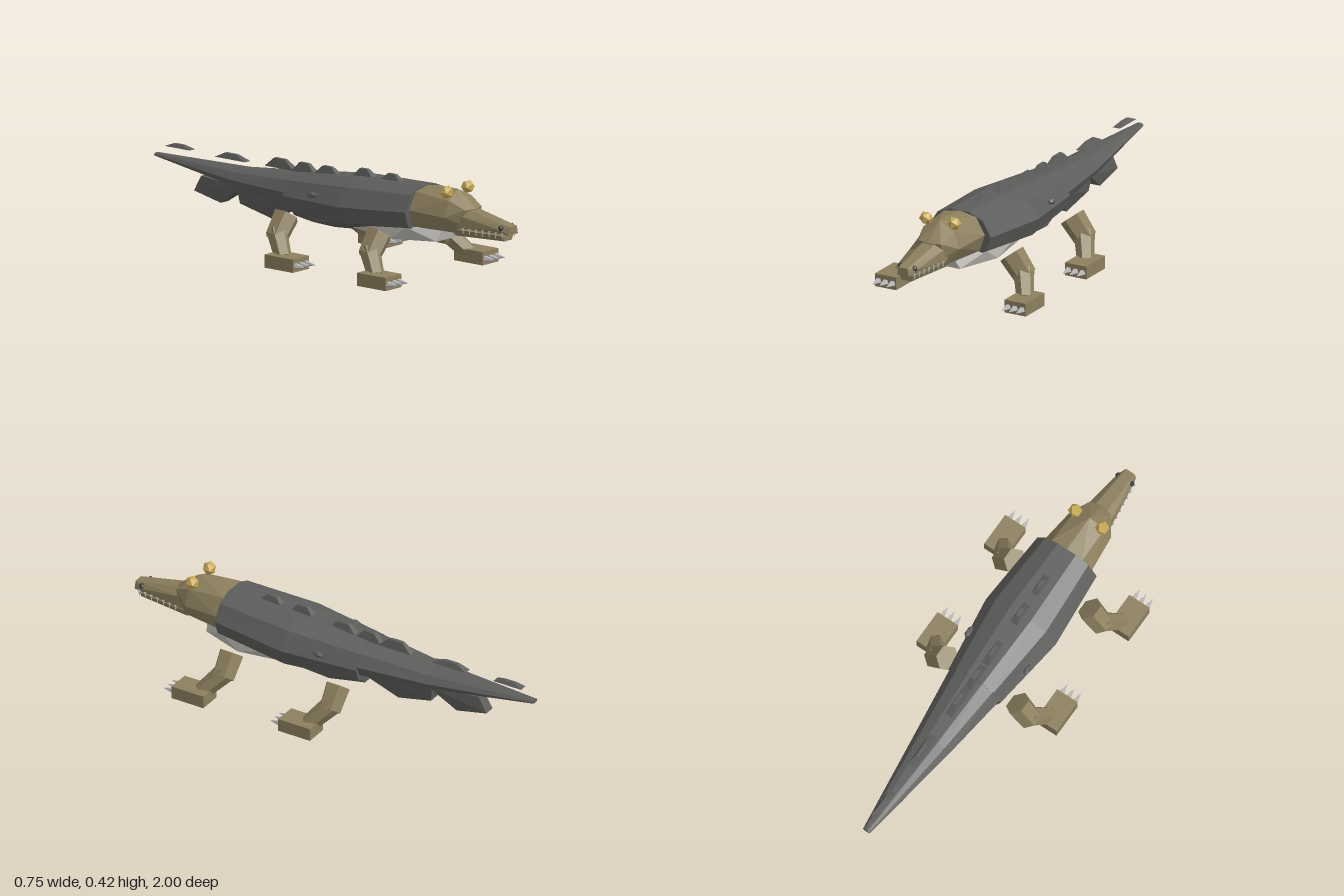
import * as THREE from 'three';
import { ConvexGeometry } from 'three/addons/geometries/ConvexGeometry.js';

const V = (x, y, z) => new THREE.Vector3(x, y, z);

function material(name, color) {
  const m = new THREE.MeshStandardMaterial({ color });
  m.name = name;
  return m;
}

// Faceted copy of a geometry
function flat(geometry) {
  const g = geometry.index ? geometry.toNonIndexed() : geometry;
  g.computeVertexNormals();
  return g;
}

// Convex solid from half of its points, mirrored across x
function hull(points) {
  const all = [];
  for (const [x, y, z] of points) {
    all.push(V(x, y, z));
    if (x !== 0) all.push(V(-x, y, z));
  }
  return new ConvexGeometry(all);
}

// Ten-sided loft; each section is [z, halfWidth, bottom, top], front to back
function loft(sections) {
  const half = [[0.3, 1], [0.72, 0.87], [1, 0.52], [0.84, 0.18], [0.38, 0]];
  const ring = [...half.map(([x, y]) => [-x, y]), ...half.slice().reverse()];
  const n = ring.length;
  const rings = sections.map(([z, w, lo, hi]) => ring.map(([x, y]) => V(x * w, lo + y * (hi - lo), z)));
  const pts = [];
  for (let s = 0; s < rings.length - 1; s++) {
    for (let i = 0; i < n; i++) {
      const j = (i + 1) % n, a = rings[s], b = rings[s + 1];
      pts.push(a[i], a[j], b[j], a[i], b[j], b[i]);
    }
  }
  const first = rings[0], last = rings[rings.length - 1];
  for (let i = 1; i < n - 1; i++) {
    pts.push(first[0], first[i + 1], first[i], last[0], last[i], last[i + 1]);
  }
  // The ring runs counterclockwise seen from the front
  for (let i = 0; i < pts.length; i += 3) {
    const cap = i >= (rings.length - 1) * n * 6;
    if (cap) [pts[i + 1], pts[i + 2]] = [pts[i + 2], pts[i + 1]];
    else [pts[i + 1], pts[i + 2]] = [pts[i + 2], pts[i + 1]];
  }
  return flat(new THREE.BufferGeometry().setFromPoints(pts));
}

// Tapered limb segment between two points
function limb(a, b, r0, r1, sides) {
  const dir = b.clone().sub(a);
  const g = new THREE.CylinderGeometry(r1, r0, dir.length(), sides);
  g.applyQuaternion(new THREE.Quaternion().setFromUnitVectors(V(0, 1, 0), dir.normalize()));
  g.translate((a.x + b.x) / 2, (a.y + b.y) / 2, (a.z + b.z) / 2);
  return flat(g);
}

export function createModel() {
  const model = new THREE.Group();
  model.name = 'crocodile';
  const grey = material('dark grey hide', 0x5d5d5b);
  const olive = material('olive skin', 0x8c7f5e);
  const pale = material('pale belly', 0xbcb9b2);
  const gold = material('gold eye', 0xc9ab57);
  const dark = material('dark nostril', 0x3c3c3a);
  const ivory = material('claw and tooth', 0xb9b9b9);

  const add = (name, geometry, mat, parent = model) => {
    const mesh = new THREE.Mesh(geometry, mat);
    mesh.name = name;
    parent.add(mesh);
    return mesh;
  };

  // Trunk and tail
  add('body', loft([[0.52, 0.155, 0.19, 0.39], [0.17, 0.182, 0.155, 0.38], [-0.18, 0.135, 0.17, 0.347]]), grey);
  add('tail', loft([[-0.17, 0.13, 0.2, 0.345], [-0.5, 0.087, 0.228, 0.315], [-1, 0.018, 0.295, 0.31]]), grey);

  // Underside plates
  add('chestPlate', hull([[0.06, 0.165, 0.62], [0.03, 0.22, 0.63], [0.13, 0.165, 0.42], [0.12, 0.22, 0.5],
    [0, 0.125, 0.34], [0.13, 0.22, 0.25], [0.09, 0.17, 0.12]]), pale);
  add('bellyPlate', hull([[0.09, 0.165, 0.2], [0.13, 0.19, 0.1], [0, 0.128, 0], [0.11, 0.165, -0.03],
    [0.1, 0.22, -0.18], [0.06, 0.165, -0.18]]), grey);
  add('frontTailPlate', hull([[0.08, 0.24, -0.18], [0.05, 0.185, -0.2], [0.03, 0.122, -0.33],
    [0.04, 0.165, -0.5], [0.05, 0.24, -0.51]]), grey);
  add('rearTailPlate', hull([[0.05, 0.24, -0.49], [0.04, 0.22, -0.51], [0.025, 0.147, -0.62],
    [0.025, 0.18, -0.77], [0.025, 0.25, -0.73]]), grey);

  // Back ridge: [z, length, base, top]
  const ridge = [[0.325, 0.11, 0.38, 0.41], [0.17, 0.11, 0.376, 0.41], [-0.035, 0.13, 0.355, 0.39],
    [-0.165, 0.13, 0.345, 0.386], [-0.3, 0.16, 0.345, 0.385], [-0.575, 0.17, 0.343, 0.366], [-0.87, 0.14, 0.349, 0.364]];
  for (const [z, len, base, top] of ridge) {
    const h = len / 2;
    add('backScale', hull([[0.018, base, z + h], [0.018, base, z - h], [0.008, top, z + h * 0.3], [0.008, top, z - h * 0.45]]), grey);
  }

  // Head, snout and jaw
  add('head', hull([[0.125, 0.3, 0.52], [0.08, 0.375, 0.52], [0, 0.39, 0.52], [0.1, 0.225, 0.52],
    [0, 0.398, 0.69], [0.075, 0.36, 0.7], [0.105, 0.29, 0.7], [0.06, 0.22, 0.72],
    [0.055, 0.325, 0.775], [0, 0.325, 0.79], [0.06, 0.26, 0.76]]), olive);
  add('snout', hull([[0.065, 0.3, 0.74], [0.03, 0.33, 0.74], [0.07, 0.245, 0.74],
    [0.03, 0.282, 0.95], [0.022, 0.278, 1], [0.042, 0.262, 0.96], [0.03, 0.243, 1]]), olive);
  add('lowerJaw', hull([[0.065, 0.236, 0.72], [0.05, 0.206, 0.72], [0.035, 0.236, 0.97], [0.025, 0.212, 0.97]]), olive);

  // Mirrored parts
  for (const s of [1, -1]) {
    const eye = add('eye', new THREE.IcosahedronGeometry(0.031, 0), gold);
    eye.position.set(s * 0.07, 0.395, 0.685);
    const nostril = add('nostril', new THREE.IcosahedronGeometry(0.014, 0), dark);
    nostril.position.set(s * 0.034, 0.27, 0.96);
    const bump = add('sideScale', new THREE.IcosahedronGeometry(0.02, 0), grey);
    bump.scale.set(0.7, 0.7, 1.6);
    bump.position.set(s * 0.153, 0.297, 0);

    for (let i = 0; i < 7; i++) {
      const z = 0.97 - i * 0.033;
      const x = s * (0.04 + i * 0.0042);
      add('tooth', limb(V(x, 0.25, z), V(x, 0.222, z), 0.007, 0.001, 4), ivory);
    }

    for (const [name, z, footX] of [['frontLeg', 0.41, 0.3225], ['hindLeg', -0.12, 0.311]]) {
      const leg = new THREE.Group();
      leg.name = name;
      model.add(leg);
      const dx = footX - 0.3225;
      const hip = V(s * (0.193 + dx), 0.193, z);
      const knee = V(s * (0.262 + dx), 0.105, z);
      add('upperLeg', limb(hip, knee, 0.058, 0.052, 6), olive, leg);
      add('lowerLeg', limb(V(s * (0.25 + dx), 0.13, z - 0.005), V(s * (0.308 + dx), 0.035, z + 0.08), 0.046, 0.038, 6), olive, leg);
      const foot = add('foot', new THREE.BoxGeometry(0.106, 0.058, 0.16), olive, leg);
      foot.position.set(s * footX, 0.029, z + 0.11);
      for (const k of [-1, 0, 1]) {
        const x = s * footX + k * 0.035;
        add('claw', limb(V(x, 0.027, z + 0.185), V(x, 0.027, z + 0.24), 0.016, 0.001, 5), ivory, leg);
      }
    }
  }
  return model;
}
